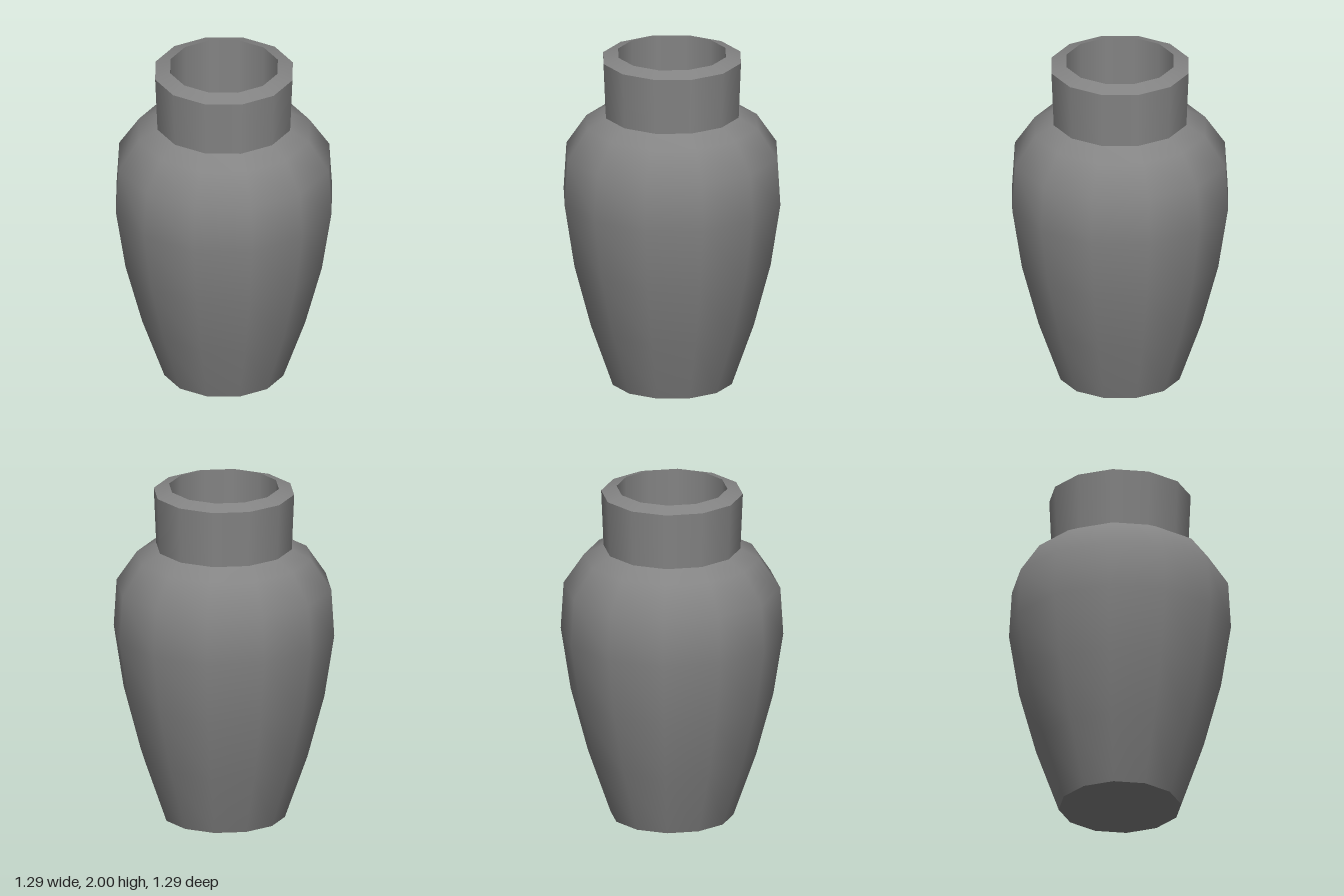
import * as THREE from 'three';

const SIDES = 12;

export function createModel() {
  const vase = new THREE.Group();
  vase.name = 'vase';
  const material = new THREE.MeshStandardMaterial({ color: 0x848484 });

  // Each part is turned separately: smooth within, sharp where parts meet
  const turn = (name, profile) => {
    const points = profile.map(([r, y]) => new THREE.Vector2(r, y));
    const mesh = new THREE.Mesh(new THREE.LatheGeometry(points, SIDES), material);
    mesh.name = name;
    vase.add(mesh);
  };

  // Outside, from the base up to the rim
  turn('base', [[0, 0], [0.357, 0]]);
  turn('body', [
    [0.357, 0], [0.489, 0.375], [0.589, 0.75], [0.647, 1.12],
    [0.63, 1.4], [0.511, 1.577], [0.398, 1.636],
  ]);
  turn('neck', [[0.398, 1.636], [0.412, 1.97]]);
  turn('rim', [[0.412, 1.97], [0.322, 2]]);

  // Inside of the mouth
  turn('innerWall', [[0.322, 2], [0.322, 1.5]]);
  turn('innerFloor', [[0.322, 1.5], [0, 1.5]]);

  return vase;
}
